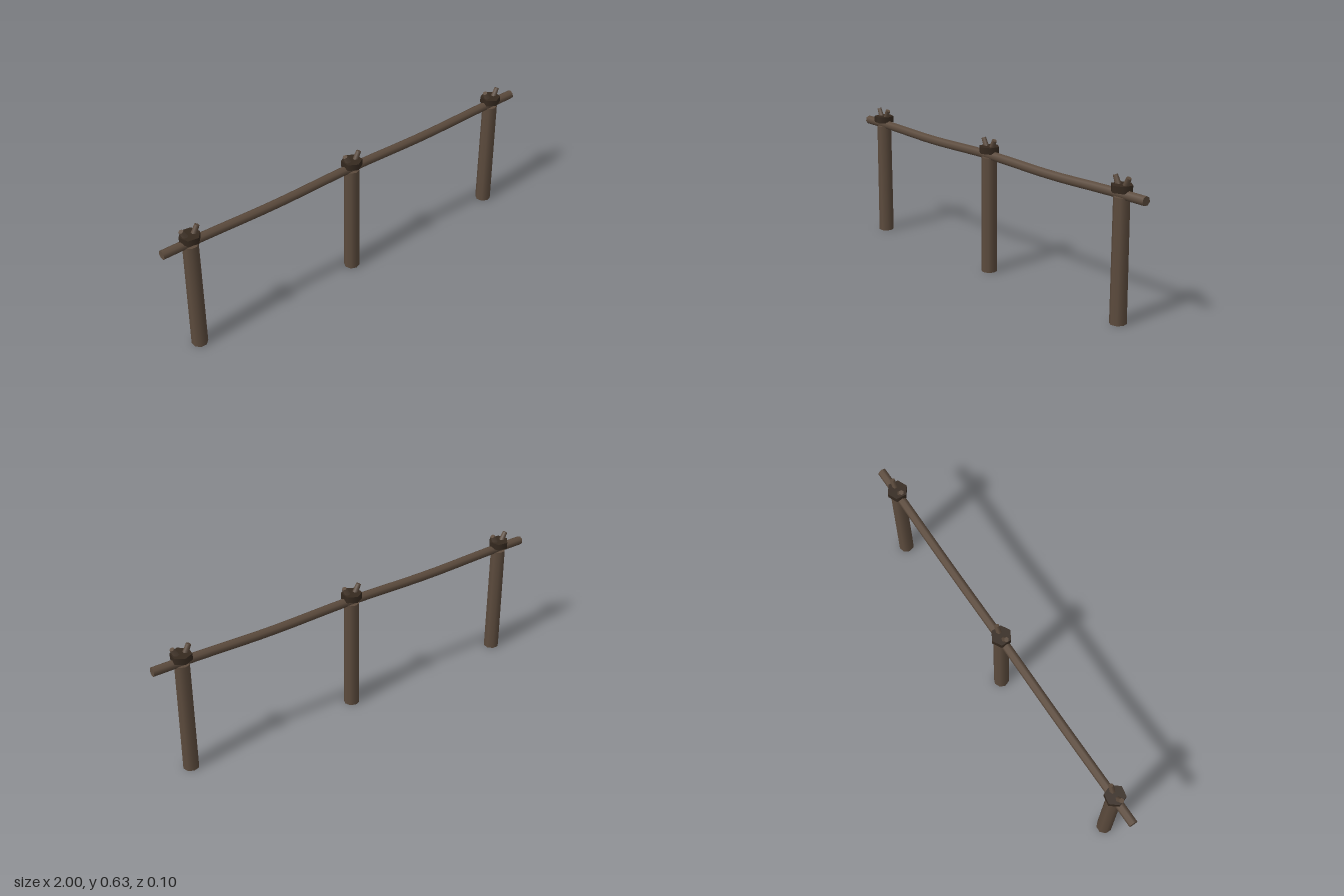
import * as THREE from 'three';

const wood = new THREE.MeshStandardMaterial({ color: 0x5c4b3d });
const binding = new THREE.MeshStandardMaterial({ color: 0x35291f });
const POST_X = 0.862;
const POST_H = 0.546;

function part(name, geometry, material, x = 0, y = 0, z = 0) {
  const mesh = new THREE.Mesh(geometry, material);
  mesh.name = name;
  mesh.position.set(x, y, z);
  return mesh;
}

// Long pole that sags gently between the posts
function railGeometry() {
  const geo = new THREE.CylinderGeometry(0.021, 0.021, 2, 7, 20);
  geo.rotateZ(-Math.PI / 2);
  geo.rotateX(0.2);
  const p = geo.attributes.position;
  for (let i = 0; i < p.count; i++) {
    const x = p.getX(i);
    const s = Math.sin((Math.PI * x) / POST_X);
    const sag = Math.abs(x) < POST_X ? 0.008 * s * s : 0;
    p.setY(i, p.getY(i) - sag);
  }
  geo.computeBoundingSphere();
  return geo;
}

// Post with a dark lashing on the rail and two splayed rope ends
function createPost(name, x, turn) {
  const post = new THREE.Group();
  post.name = name;
  post.position.x = x;

  const trunk = part('trunk', new THREE.CylinderGeometry(0.035, 0.037, POST_H, 8), wood, 0, POST_H / 2);
  trunk.rotation.y = turn;
  post.add(trunk);

  const lashing = part('lashing', new THREE.CylinderGeometry(0.048, 0.048, 0.03, 6), binding, 0, 0.582);
  lashing.rotation.y = turn;
  post.add(lashing);

  for (const side of [-1, 1]) {
    const peg = part(side > 0 ? 'leftPeg' : 'rightPeg',
      new THREE.CylinderGeometry(0.0115, 0.014, 0.056, 6), wood, side * 0.027, 0.605, 0.001);
    peg.rotation.z = -side * 0.45;
    post.add(peg);
  }
  return post;
}

export function createModel() {
  const fence = new THREE.Group();
  fence.name = 'railFence';
  fence.add(part('rail', railGeometry(), wood, 0, 0.556));
  fence.add(createPost('rightPost', -POST_X, 0.35));
  fence.add(createPost('middlePost', 0, 0));
  fence.add(createPost('leftPost', POST_X, -0.1));
  return fence;
}
